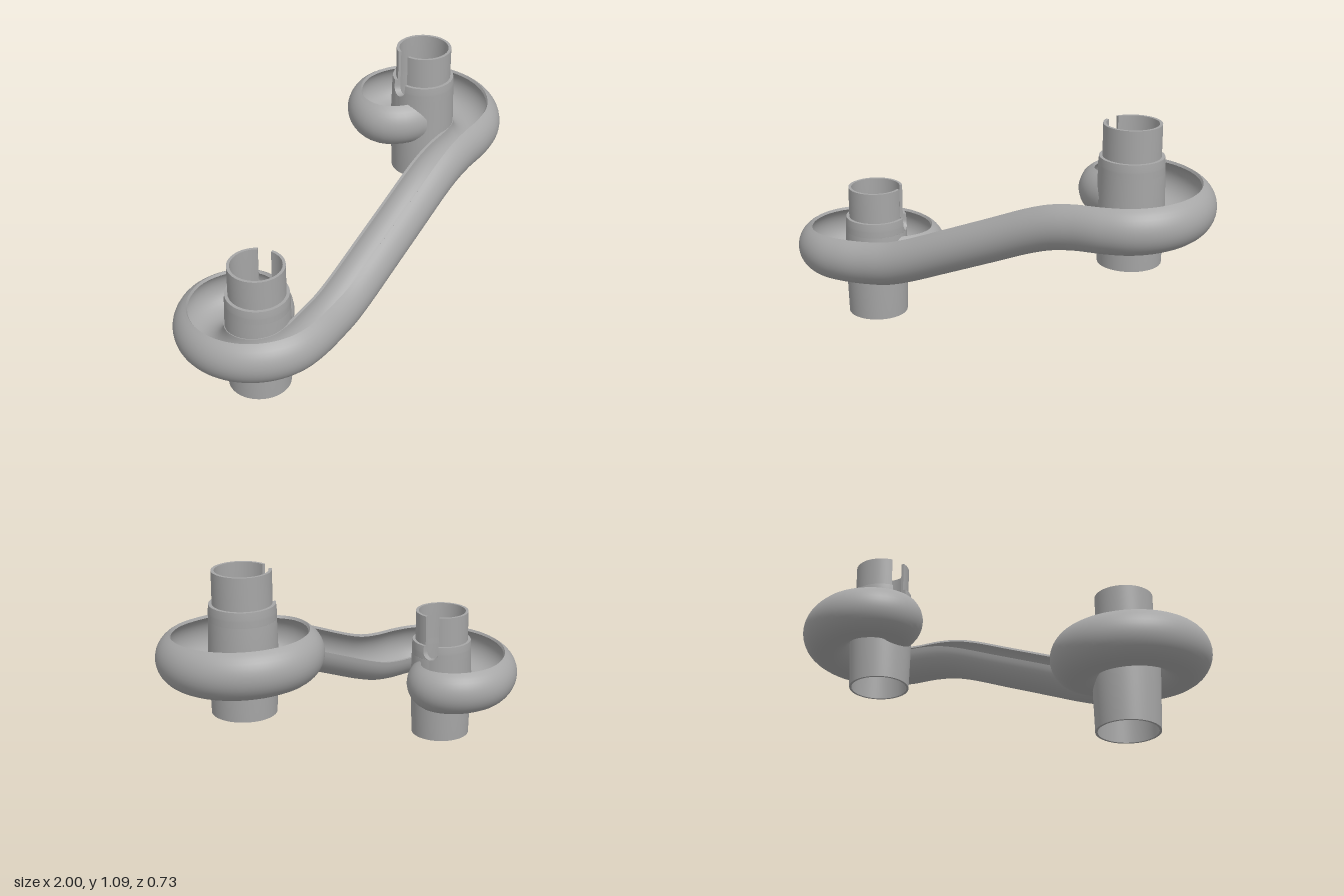
import * as THREE from 'three';
import { toCreasedNormals } from 'three/addons/utils/BufferGeometryUtils.js';

const COLUMN_X = 0.635, RISE = 0.475, PATH_R = 0.25;

// Joins equal closed loops (outer half, then inner half reversed) into a walled solid.
function loft(loops) {
  const n = loops.length, m = loops[0].length, h = m / 2;
  const index = [];
  const id = (u, j) => u * m + (j % m);
  const quad = (a, b, c, d) => index.push(a, b, c, a, c, d);
  for (let u = 0; u < n - 1; u++) {
    for (let j = 0; j < m; j++) quad(id(u, j), id(u, j + 1), id(u + 1, j + 1), id(u + 1, j));
  }
  for (let j = 0; j < h - 1; j++) {
    const [a, b, c, d] = [j, j + 1, m - 2 - j, m - 1 - j];
    quad(d, c, b, a);
    quad(id(n - 1, a), id(n - 1, b), id(n - 1, c), id(n - 1, d));
  }
  const geo = new THREE.BufferGeometry();
  geo.setAttribute('position', new THREE.Float32BufferAttribute(loops.flat(2), 3));
  geo.setIndex(index);
  geo.scale(20, 20, 20); // keeps thin walls apart while normals are creased
  const out = toCreasedNormals(geo.toNonIndexed(), 0.6);
  return out.scale(0.05, 0.05, 0.05);
}

// Stepped hollow column with a round-bottomed slot running to its top.
function columnGeometry(slotAngle) {
  const slotY = 0.445, slotW = 0.036;
  const rows = [[0, 0.138, 0.128], [0.27, 0.146, 0.121]]; // y, outer, inner
  for (let k = 0; k <= 6; k++) {
    rows.push([slotY - slotW * Math.cos((k / 6) * Math.PI / 2), 0.142, 0.113]);
  }
  rows.push([RISE, 0.139, 0.112], [RISE, 0.125, 0.112], [0.617, 0.125, 0.112]);
  const halfGap = (y) => {
    const d = Math.min(slotW, Math.max(0, slotY - y));
    return Math.asin(Math.sqrt(slotW * slotW - d * d) / 0.135);
  };
  const loops = [];
  const steps = 72;
  for (let u = 0; u <= steps; u++) {
    const at = (y, r) => {
      const g = halfGap(y);
      const a = slotAngle + g + (u / steps) * (Math.PI * 2 - 2 * g);
      return [r * Math.cos(a), y, r * Math.sin(a)];
    };
    loops.push([
      ...rows.map(([y, ro]) => at(y, ro)),
      ...rows.map(([y, , ri]) => at(y, ri)).reverse(),
    ]);
  }
  return loft(loops);
}

// Centre line: out of the high column, around it, down the ramp, around the low column.
function channelPath() {
  const tail = [[0.06, -0.005], [0.095, -0.022], [0.135, -0.055], [0.16, -0.105], [0.148, -0.16], [0.095, -0.218]];
  const pts = [];
  const add = (x, y, z) => pts.push(new THREE.Vector3(x, y, z));
  const arc = (cx, from, y0, y1) => {
    for (let k = 0; k <= 8; k++) {
      const a = from + (k / 8) * Math.PI;
      add(cx + PATH_R * Math.cos(a), y0 + (y1 - y0) * k / 8, PATH_R * Math.sin(a));
    }
  };
  tail.forEach(([x, z], i) => add(COLUMN_X - x, 0.762 - i * 0.002, z));
  arc(COLUMN_X, -Math.PI / 2, 0.75, 0.712);
  [[0.5, 0.704], [0.4, 0.688], [0.3, 0.657], [0.1, 0.575], [-0.1, 0.493],
    [-0.3, 0.412], [-0.4, 0.38], [-0.5, 0.364]].forEach(([x, y]) => add(x, y, PATH_R));
  arc(-COLUMN_X, Math.PI / 2, 0.354, 0.303);
  [...tail].reverse().forEach(([x, z], i) => add(-COLUMN_X + x, 0.3 - i * 0.002, z));
  return new THREE.CatmullRomCurve3(pts);
}

// Upright gutter section: low inner rim, high outer rim curling over.
function channelGeometry() {
  const path = channelPath(), steps = 200, arcSteps = 26;
  const from = -Math.PI, to = THREE.MathUtils.degToRad(62);
  const loops = [];
  for (let u = 0; u <= steps; u++) {
    const p = path.getPointAt(u / steps), t = path.getTangentAt(u / steps);
    const len = Math.hypot(t.x, t.z);
    const nx = t.z / len, nz = -t.x / len;
    const cx = Math.sign(p.x) * COLUMN_X;
    const at = (r, k) => {
      const a = from + (to - from) * k / arcSteps;
      let x = p.x + nx * r * Math.cos(a) - cx, z = p.z + nz * r * Math.cos(a);
      // keep the bore of the column clear
      const d = Math.hypot(x, z), s = d < 0.131 ? 0.131 / d : 1;
      return [cx + x * s, p.y + r * Math.sin(a), z * s];
    };
    const ks = Array.from({ length: arcSteps + 1 }, (_, k) => k);
    loops.push([...ks.map((k) => at(0.115, k)), ...ks.map((k) => at(0.102, k)).reverse()]);
  }
  return loft(loops);
}

export function createModel() {
  const model = new THREE.Group();
  model.name = 'spiralTrack';
  const grey = new THREE.MeshStandardMaterial({ color: 0xa6a6a6 });
  grey.name = 'plainGrey';
  const add = (name, geometry, x = 0, y = 0) => {
    const mesh = new THREE.Mesh(geometry, grey);
    mesh.name = name;
    mesh.position.set(x, y, 0);
    model.add(mesh);
    return mesh;
  };

  add('channel', channelGeometry());
  add('lowColumn', columnGeometry(-0.33), -COLUMN_X, 0);
  add('highColumn', columnGeometry(Math.PI + 0.33), COLUMN_X, RISE);

  // Sloping floor that guides out of the high column
  const floor = add('columnFloor', new THREE.CylinderGeometry(0.122, 0.122, 0.015, 48), COLUMN_X, 0.69);
  floor.rotation.z = 0.2;
  return model;
}
